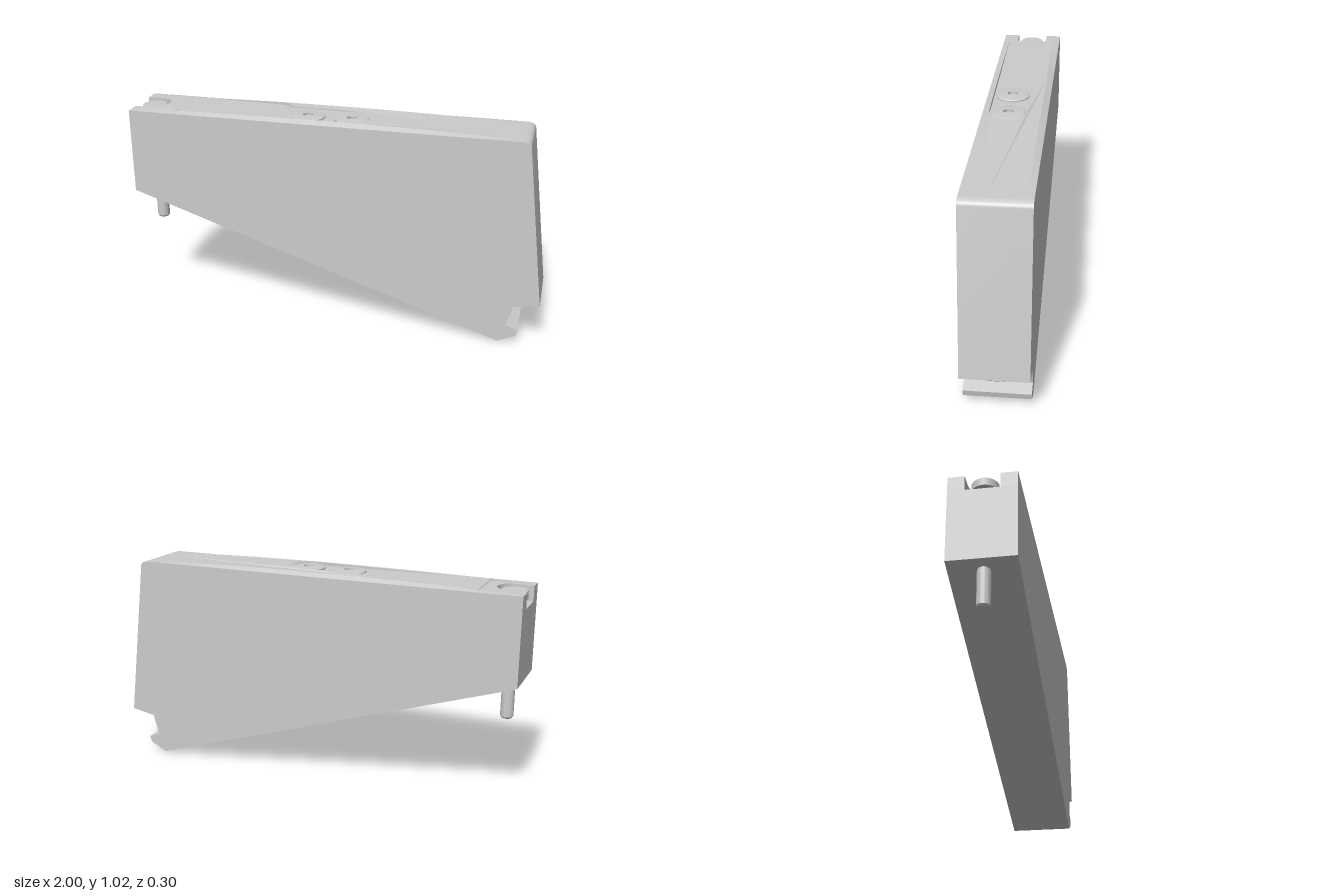
import * as THREE from 'three';
import { toCreasedNormals } from 'three/addons/utils/BufferGeometryUtils.js';

const V = (x, y) => new THREE.Vector2(x, y);

// Points on an arc, angles in degrees
function arc(cx, cy, r, a0, a1, n = 20) {
  return Array.from({ length: n + 1 }, (_, i) => {
    const a = THREE.MathUtils.degToRad(a0 + (a1 - a0) * i / n);
    return V(cx + r * Math.cos(a), cy + r * Math.sin(a));
  });
}

// Split long edges so that a flat outline can follow the crown
function densify(points, step = 0.1) {
  const out = [];
  points.forEach((p, i) => {
    const q = points[(i + 1) % points.length];
    const n = Math.max(1, Math.ceil(p.distanceTo(q) / step));
    for (let k = 0; k < n; k++) out.push(p.clone().lerp(q, k / n));
  });
  return out;
}

// Extrude a plan outline (x, -z) upwards from y0 to y1
function slab(outline, y0, y1, hole) {
  const shape = new THREE.Shape(outline);
  if (hole) shape.holes.push(new THREE.Path(hole));
  const g = new THREE.ExtrudeGeometry(shape, { depth: y1 - y0, bevelEnabled: false });
  return g.rotateX(-Math.PI / 2).translate(0, y0, 0);
}

function moveY(g, rule) {
  const p = g.attributes.position;
  for (let i = 0; i < p.count; i++) p.setY(i, rule(p.getX(i), p.getY(i), p.getZ(i)));
  return toCreasedNormals(g, 0.5);
}

// Top surface: arched along x, easing down to straight side edges
const crown = (x, y, z) => y < 1.009 ? y : y + 0.015
  * (1 - ((x + 0.0675) / 0.9325) ** 2)
  * THREE.MathUtils.clamp((0.15 - Math.abs(z)) / 0.03, 0, 1);

export function createModel() {
  const group = new THREE.Group();
  const material = new THREE.MeshStandardMaterial({ color: 0xcccccc });
  const add = (name, geometry, x = 0, y = 0, z = 0) => {
    const mesh = new THREE.Mesh(geometry, material);
    mesh.name = name;
    mesh.position.set(x, y, z);
    group.add(mesh);
  };

  // Tapered body with the hooked lower end
  const profile = new THREE.Shape([
    V(-1, 0.6), V(0.815, 0.005), V(0.9, 0.045), V(0.907, 0.076), V(0.85, 0.095),
    V(0.88, 0.197), V(1, 0.218), V(0.903, 0.985),
  ]);
  profile.quadraticCurveTo(0.9, 1.008, 0.865, 1.01);
  [[0.865, 1], [-0.84, 1], [-0.84, 0.94], [-1, 0.94]].forEach(p => profile.lineTo(...p));
  const body = new THREE.ExtrudeGeometry(profile, { depth: 0.3, bevelEnabled: false, curveSegments: 8 });
  add('body', toCreasedNormals(body.translate(0, 0, -0.15), 0.5));

  // Screw pocket, open at the narrow end
  const pocket = [V(-1, -0.076), ...arc(-0.93, 0, 0.076, -90, 90), V(-1, 0.076)];
  add('screwPocket', slab([...pocket, V(-1, 0.15), V(-0.84, 0.15), V(-0.84, -0.15), V(-1, -0.15)], 0.94, 1));

  // Crowned top plate with the stepped recess
  const recess = densify([
    V(-0.8, 0.118), V(-0.32, 0.118), V(-0.285, 0.11), V(-0.245, 0.068), V(-0.215, 0.058),
    ...arc(0.07, -0.03, 0.088, 90, -90), V(-0.8, -0.118),
  ]);
  const top = densify([...pocket, V(-1, 0.12), V(0.865, 0.12), V(0.865, -0.12), V(-1, -0.12)]);
  add('topPlate', moveY(slab(top, 1, 1.01, recess), crown));

  // Sloped edges either side of the top plate
  for (const side of [1, -1]) {
    const rail = new THREE.BoxGeometry(1.865, 0.01, 0.03, 20, 1, 1).translate(-0.0675, 1.005, side * 0.135);
    add(side > 0 ? 'frontTopEdge' : 'backTopEdge', moveY(rail, crown));
  }

  // Recess floor, sinking towards the discs
  const floorRule = (x, y) => y < 1.001 ? y : 1.018 - 0.012 * (x + 0.8);
  add('recessFloor', moveY(slab(recess, 0.999, 1.002), floorRule));

  // Shallow conical discs with a centre hole
  const disc = new THREE.LatheGeometry([
    V(0.08, 0), V(0.08, 0.01), V(0.074, 0.014), V(0.026, 0.018), V(0.024, 0.017), V(0.024, 0.003), V(0, 0.003),
  ], 40);
  for (const x of [-0.14, 0.07]) add('disc', toCreasedNormals(disc, 0.5), x, 1.005, 0.03);

  // Screw: head in the pocket, shank out of the underside
  const screw = new THREE.LatheGeometry([
    V(0, 0.41), V(0.024, 0.41), V(0.03, 0.418), V(0.03, 0.965), V(0.06, 0.965), V(0.06, 1), V(0.055, 1.005), V(0, 1.005),
  ], 32);
  add('screw', toCreasedNormals(screw, 0.5), -0.93, 0, 0);

  // Small latch tab under the heel
  const tab = new THREE.Shape([V(0.868, 0.16), V(0.925, 0.16)]);
  tab.quadraticCurveTo(0.942, 0.162, 0.95, 0.178);
  [[0.968, 0.214], [0.88, 0.2]].forEach(p => tab.lineTo(...p));
  const latch = new THREE.ExtrudeGeometry(tab, { depth: 0.07, bevelEnabled: false });
  add('latchTab', toCreasedNormals(latch.translate(0, 0, -0.035), 0.5));

  return group;
}
